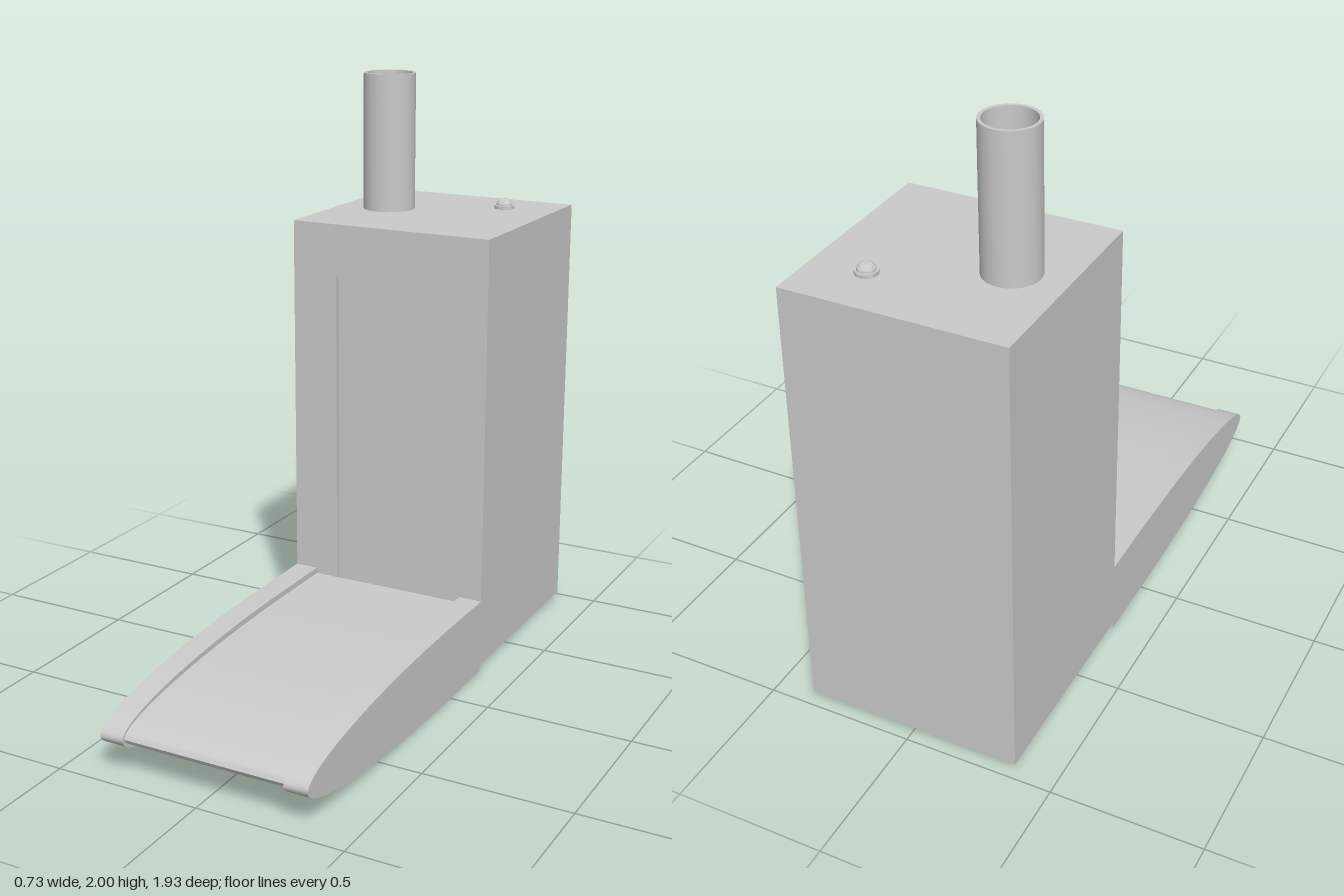
import * as THREE from 'three';
import { toCreasedNormals } from 'three/addons/utils/BufferGeometryUtils.js';

const HALF_W = 0.364, BACK = -0.967, FRONT = -0.237;   // cabinet footprint
const BASE = 0.026, TOP = 1.525;                       // cabinet height
const RECESS = 0.02, RAIL_IN = 0.282;

export function createModel() {
  const group = new THREE.Group();
  const grey = new THREE.MeshStandardMaterial({ color: 0xcacaca });
  grey.name = 'light grey';

  const add = (name, geometry, x = 0, y = 0, z = 0) => {
    const mesh = new THREE.Mesh(geometry, grey);
    mesh.name = name;
    mesh.position.set(x, y, z);
    group.add(mesh);
    return mesh;
  };

  // Rounded-nose slab: half ellipse in front, straight behind, extruded across x
  const slab = (length, halfHeight, width) => {
    const shape = new THREE.Shape();
    shape.moveTo(FRONT, -halfHeight);
    shape.lineTo(0, -halfHeight);
    const n = 36;
    for (let i = 1; i <= n; i++) {
      const a = -Math.PI / 2 + (i / n) * Math.PI;
      shape.lineTo(length * Math.cos(a), halfHeight * Math.sin(a));
    }
    shape.lineTo(FRONT, halfHeight);
    const geo = new THREE.ExtrudeGeometry(shape, { depth: width, bevelEnabled: false });
    geo.translate(0, 0, -width / 2);
    geo.rotateY(-Math.PI / 2);
    return toCreasedNormals(geo, 0.7);
  };

  // Cabinet body
  const depth = FRONT - RECESS - BACK;
  add('cabinet', new THREE.BoxGeometry(HALF_W * 2, TOP - BASE, depth),
    0, (TOP + BASE) / 2, BACK + depth / 2);

  // Front frame around the recessed door panel
  const frame = new THREE.Shape();
  frame.moveTo(-HALF_W, BASE);
  frame.lineTo(HALF_W, BASE);
  frame.lineTo(HALF_W, TOP);
  frame.lineTo(-HALF_W, TOP);
  frame.closePath();
  const door = new THREE.Path();
  door.moveTo(-0.2, 0.235);
  door.lineTo(-0.2, 1.345);
  door.lineTo(0.18, 1.345);
  door.lineTo(0.18, 0.235);
  door.closePath();
  frame.holes.push(door);
  add('doorFrame', new THREE.ExtrudeGeometry(frame, { depth: RECESS, bevelEnabled: false }),
    0, 0, FRONT - RECESS);

  // Tapered foot: sunken centre deck between two raised side rails
  add('deck', slab(0.957, 0.109, RAIL_IN * 2), 0, 0.135, 0);
  for (const side of [-1, 1]) {
    add(side < 0 ? 'rightRail' : 'leftRail', slab(0.967, 0.131, HALF_W - RAIL_IN),
      side * (HALF_W + RAIL_IN) / 2, 0.133, 0);
  }

  // Open pipe on the roof, with a hollow bore
  const V = (x, y) => new THREE.Vector2(x, y);
  const pipe = new THREE.LatheGeometry(
    [V(0.091, 0), V(0.091, 0.475), V(0.08, 0.475), V(0.08, 0.002), V(0, 0.002)], 48);
  add('pipe', toCreasedNormals(pipe, 0.7), -0.186, TOP, -0.605);

  // Small domed button with a thin flange
  const profile = [V(0.036, 0), V(0.036, 0.012), V(0.029, 0.012)];
  for (let i = 1; i <= 8; i++) {
    const a = (i / 8) * Math.PI / 2;
    profile.push(V(Math.max(0, 0.029 * Math.cos(a)), 0.012 + 0.025 * Math.sin(a)));
  }
  add('button', toCreasedNormals(new THREE.LatheGeometry(profile, 24), 0.7), 0.18, TOP, -0.787);

  return group;
}
